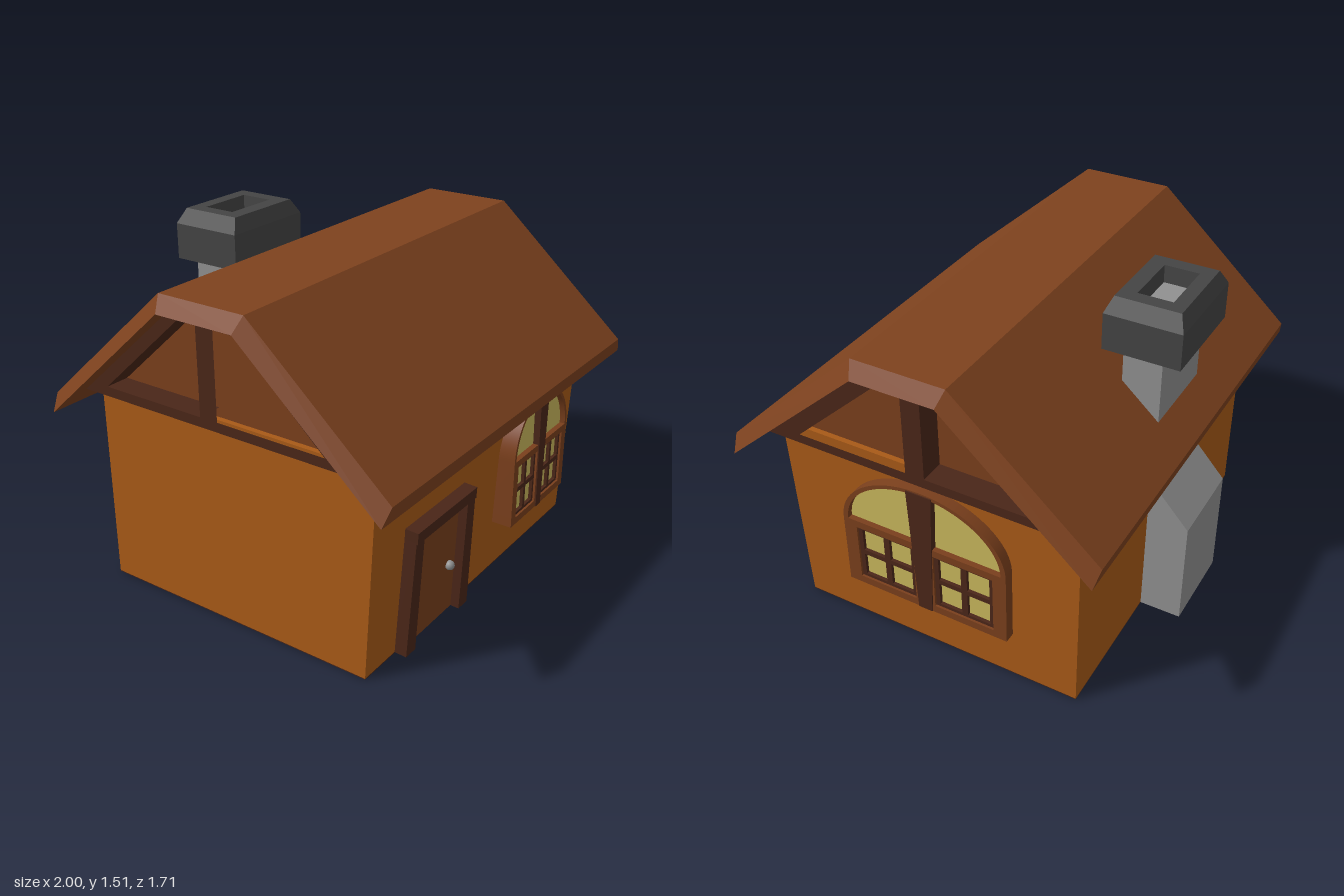
import * as THREE from 'three';
import { toCreasedNormals } from 'three/addons/utils/BufferGeometryUtils.js';

const mat = (color) => new THREE.MeshStandardMaterial({ color, roughness: 0.9 });

function add(parent, name, geometry, material) {
  const m = new THREE.Mesh(geometry, material);
  m.name = name;
  parent.add(m);
  return m;
}

const path = (pts) => pts.map(([x, y]) => new THREE.Vector2(x, y));
const rect = (x0, y0, x1, y1) => [[x0, y0], [x1, y0], [x1, y1], [x0, y1]];

function polygon(pts, holes = []) {
  const s = new THREE.Shape(path(pts));
  holes.forEach((h) => s.holes.push(new THREE.Path(path(h))));
  return s;
}

const extrude = (shape, depth) =>
  new THREE.ExtrudeGeometry(shape, { depth, bevelEnabled: false, curveSegments: 24 });

// Extrude a (z, y) profile along x, from x0 to x1
function extrudeX(pts, x0, x1, holes = []) {
  const flip = (p) => p.map(([z, y]) => [-z, y]);
  return extrude(polygon(flip(pts), holes.map(flip)), x1 - x0)
    .rotateY(Math.PI / 2).translate(x0, 0, 0);
}

// Join four-cornered rings into a flat-faced surface
function loft(rings, caps) {
  const pos = [];
  const quad = (a, b, c, d) => pos.push(...a, ...b, ...c, ...a, ...c, ...d);
  for (let i = 0; i < rings.length - 1; i++) {
    const p = rings[i], q = rings[i + 1];
    for (let j = 0; j < 4; j++) {
      const k = (j + 1) % 4;
      quad(p[j], p[k], q[k], q[j]);
    }
  }
  if (caps) {
    const [a, b, c, d] = rings[0];
    quad(a, d, c, b);
    quad(...rings[rings.length - 1]);
  }
  const g = new THREE.BufferGeometry();
  g.setAttribute('position', new THREE.Float32BufferAttribute(pos, 3));
  g.computeVertexNormals();
  return g;
}

function arch(halfWidth, bottom, spring, rise) {
  const s = new THREE.Shape();
  s.moveTo(-halfWidth, bottom);
  s.lineTo(halfWidth, bottom);
  s.lineTo(halfWidth, spring);
  s.absellipse(0, spring, halfWidth, rise, 0, Math.PI, false);
  s.closePath();
  return s;
}

// Arched window: base at y = 0, facing +z
function createWindow(name, brown, dark, glass) {
  const g = new THREE.Group();
  g.name = name;
  const sash = (s) => rect(s * 0.12 - 0.09, 0.033, s * 0.12 + 0.09, 0.284);

  const frame = arch(0.25, 0, 0.315, 0.255);
  [-1, 1].forEach((s) => frame.holes.push(new THREE.Path(path(sash(s)))));
  frame.holes.push(arch(0.235, 0.3155, 0.316, 0.239));
  add(g, 'windowFrame', toCreasedNormals(extrude(frame, 0.095), 0.6), brown);
  add(g, 'windowGlass', extrude(arch(0.24, 0.01, 0.315, 0.245), 0.07), glass);

  // Sashes with four panes each
  for (const s of [-1, 1]) {
    const c = s * 0.12, panes = [];
    for (const [x0, x1] of [[-0.077, -0.009], [0.009, 0.077]])
      for (const [y0, y1] of [[0.046, 0.148], [0.169, 0.271]])
        panes.push(rect(c + x0, y0, c + x1, y1));
    add(g, 'windowSash', extrude(polygon(sash(s), panes), 0.085), dark);
  }
  add(g, 'windowMullion', extrude(polygon(
    [[-0.021, 0.002], [0.021, 0.002], [0.038, 0.563], [-0.038, 0.563]]), 0.1), dark);
  return g;
}

export function createModel() {
  const house = new THREE.Group();
  house.name = 'cottage';
  const orange = mat(0xa85a17), brown = mat(0x7a3f1c), roofBrown = mat(0x7e421e);
  const dark = mat(0x4a2618), glass = mat(0xc9b75c);
  const stone = mat(0x909090), capGrey = mat(0x444444);

  // Walls (front leans outward) and floor
  add(house, 'walls', extrudeX(
    [[0.665, 0.004], [0.71, 0.925], [-0.67, 0.925], [-0.667, 0.004]], -0.834, 0.834), orange);
  add(house, 'floor', new THREE.BoxGeometry(1.668, 0.004, 1.332).translate(0, 0.002, -0.001), dark);

  // Gable panels and timber frames
  const gable = [[0.712, 0.925], [0.2, 1.38], [-0.165, 1.38], [-0.672, 0.925]];
  add(house, 'gablePanel', extrudeX(gable, -0.81, 0.81), brown);
  const gaps = [
    [[0.545, 0.967], [0.137, 1.34], [0.04, 1.34], [0.04, 0.967]],
    [[-0.545, 0.967], [-0.137, 1.34], [-0.045, 1.34], [-0.045, 0.967]],
  ];
  for (const x of [-0.92, 0.81])
    add(house, 'gableFrame', extrudeX(gable, x, x + 0.11, gaps), dark);

  // Roof shell with bevelled ends
  const outer = [[0.855, 0.887], [0.222, 1.448], [-0.187, 1.448], [-0.813, 0.887]];
  const inner = [[0.84, 0.815], [0.2, 1.382], [-0.165, 1.382], [-0.797, 0.815]];
  add(house, 'roof', loft(outer.map(([z, y], i) => {
    const [zi, yi] = inner[i];
    return [[-0.955, y, z], [0.955, y, z], [1, yi, zi], [-1, yi, zi]];
  }), true), roofBrown);

  // Chimney with sloped shoulder
  add(house, 'chimney', extrudeX([
    [-0.66, 0], [-0.853, 0], [-0.853, 0.5], [-0.685, 0.685], [-0.685, 1.44],
    [-0.518, 1.44], [-0.518, 0.8], [-0.66, 0.7]], -0.2, 0.2), stone);
  const ring = (x, y, zBack, zFront) =>
    [[-x, y, zFront], [x, y, zFront], [x, y, zBack], [-x, y, zBack]];
  add(house, 'chimneyCap', loft([
    ring(0.19, 1.29, -0.68, -0.525),
    ring(0.23, 1.29, -0.77, -0.436),
    ring(0.23, 1.45, -0.77, -0.436),
    ring(0.19, 1.515, -0.742, -0.463),
    ring(0.128, 1.515, -0.682, -0.532),
    ring(0.123, 1.435, -0.678, -0.536),
  ], false), capGrey);

  // Door, leaning with the front wall
  const door = new THREE.Group();
  door.name = 'door';
  door.position.set(-0.385, 0, 0.665);
  door.rotation.x = Math.atan2(0.045, 0.925);
  house.add(door);
  add(door, 'doorPanel', new THREE.BoxGeometry(0.36, 0.53, 0.03).translate(0, 0.268, 0), brown);
  for (const s of [-1, 1])
    add(door, 'doorPost', extrude(polygon([
      [s * 0.172, 0.003], [s * 0.24, 0.003], [s * 0.225, 0.535], [s * 0.167, 0.535]]), 0.07)
      .translate(0, 0, -0.015), dark);
  add(door, 'doorLintel', new THREE.BoxGeometry(0.45, 0.05, 0.08).translate(0, 0.554, 0.02), dark);
  add(door, 'doorKnob', new THREE.SphereGeometry(0.021, 16, 12).translate(0.115, 0.242, 0.025), stone);

  // Windows on the front and left walls
  const front = createWindow('frontWindow', brown, dark, glass);
  front.position.set(0.385, 0.245, 0.675);
  const side = createWindow('sideWindow', brown, dark, glass);
  side.position.set(0.788, 0.23, 0.014);
  side.rotation.y = Math.PI / 2;
  side.scale.set(1.55, 1.09, 1);
  house.add(front, side);

  return house;
}
